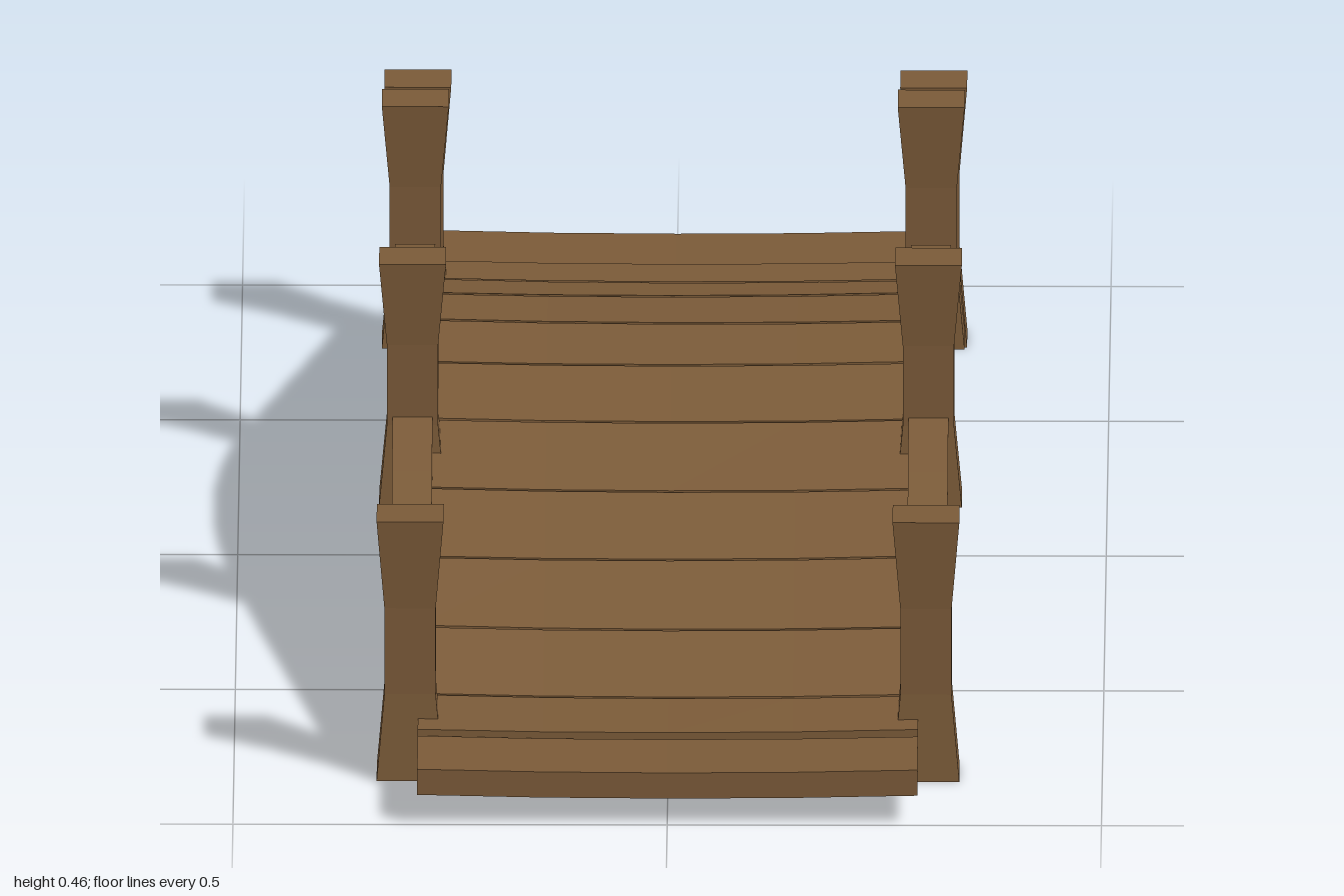
import * as THREE from 'three';

const wood = new THREE.MeshStandardMaterial({ color: 0x7a5a38 });
wood.name = 'brown wood';

// Box whose vertices are moved by a rule, with flat faces
function shapedBox(name, segX, segY, rule) {
  const geo = new THREE.BoxGeometry(1, 1, 1, segX, segY, 1).toNonIndexed();
  const p = geo.attributes.position;
  for (let i = 0; i < p.count; i++) {
    p.setXYZ(i, ...rule(p.getX(i), p.getY(i), p.getZ(i)));
  }
  geo.computeVertexNormals();
  const mesh = new THREE.Mesh(geo, wood);
  mesh.name = name;
  return mesh;
}

// Post with a narrow shaft, flared at the top and the foot
function post(x, y, z, height) {
  const levels = [0, 0.33, 0.66, 1];
  return shapedBox('post', 1, 3, (u, v, w) => {
    const k = Math.round((v + 0.5) * 3);
    const end = k === 0 || k === 3;
    return [
      x + u * (end ? 0.077 : 0.059),
      y + height * levels[k],
      z + w * (end ? 0.066 : 0.053),
    ];
  });
}

// Arched side rail: one outline extruded across its thickness
function rail(x) {
  const top = [[0, 0.328], [0.07, 0.326], [0.14, 0.318], [0.24, 0.298],
    [0.42, 0.238], [0.6, 0.174], [0.82, 0.097]];
  const bottom = [[0, 0.234], [0.07, 0.232], [0.13, 0.225], [0.22, 0.205],
    [0.4, 0.147], [0.58, 0.083], [0.82, 0.008]];
  const mirrored = (half) => [
    ...half.slice(1).reverse().map(([z, y]) => new THREE.Vector2(-z, y)),
    ...half.map(([z, y]) => new THREE.Vector2(z, y)),
  ];
  const shape = new THREE.Shape([...mirrored(bottom), ...mirrored(top).reverse()]);
  const thickness = 0.046;
  const geo = new THREE.ExtrudeGeometry(shape, { depth: thickness, bevelEnabled: false });
  geo.translate(0, 0, -thickness / 2).rotateY(-Math.PI / 2).translate(x, 0, 0);
  const mesh = new THREE.Mesh(geo, wood);
  mesh.name = 'sideRail';
  return mesh;
}

// Plank spanning from (z0, y0) to (z1, y1) along its top, sagging in the middle
function plank(name, z0, y0, z1, y1, taper) {
  return shapedBox(name, 4, 1, (u, v, w) => {
    const t = w + 0.5;
    const sag = 0.004 * (1 - 4 * u * u);
    const gap = 0.003 + taper * u;
    const z = THREE.MathUtils.lerp(z0 + gap, z1 - gap, t);
    const y = THREE.MathUtils.lerp(y0, y1, t) - sag - (v < 0 ? 0.031 : 0);
    return [u * 0.576, y, z];
  });
}

export function createModel() {
  const bridge = new THREE.Group();
  bridge.name = 'footbridge';

  // Side rails and posts
  for (const side of [-1, 1]) {
    bridge.add(rail(side * 0.297));
    for (const end of [-1, 1]) {
      bridge.add(post(side * 0.297, 0, end * 0.806, 0.314));
      bridge.add(post(side * 0.297, 0.165, end * 0.293, 0.293));
    }
  }

  // Deck planks: heights of the joints from the crown to the foot
  const joints = [[0, 0.285], [0.128, 0.276], [0.26, 0.25], [0.385, 0.207],
    [0.507, 0.164], [0.632, 0.12], [0.752, 0.077], [0.872, 0.073]];
  for (const end of [-1, 1]) {
    for (let i = 0; i < joints.length - 1; i++) {
      const a = joints[i], b = joints[i + 1];
      const [near, far] = end > 0 ? [a, b] : [b, a];
      const taper = 0.003 * Math.sin(i * 2.3 + end);
      bridge.add(plank('deckPlank', end * near[0], near[1], end * far[0], far[1], taper));
    }
    // Flat step at each end
    const [z0, z1] = end > 0 ? [0.873, 1.003] : [-1.003, -0.873];
    bridge.add(plank('endStep', z0, 0.067, z1, 0.067, 0));
  }
  return bridge;
}
